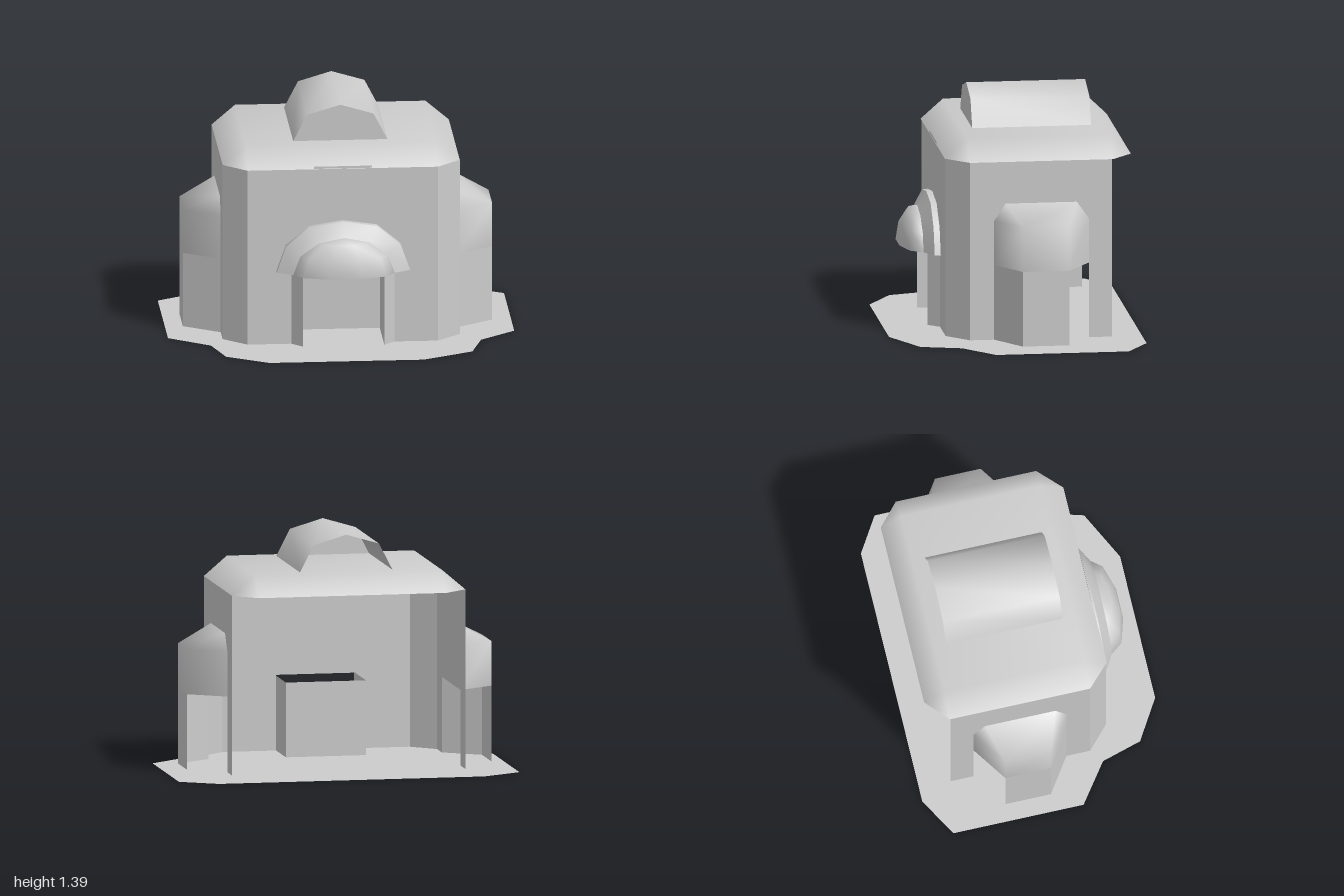
import * as THREE from 'three';
import { mergeVertices, mergeGeometries } from 'three/addons/utils/BufferGeometryUtils.js';

const stone = new THREE.MeshStandardMaterial({ color: 0xcccccc, side: THREE.DoubleSide });
stone.name = 'pale stone';

// Quads between successive rows of [x, y, z] points
function loft(rows) {
  const pos = [];
  for (let r = 0; r < rows.length - 1; r++) {
    for (let i = 0; i < rows[r].length - 1; i++) {
      const a = rows[r][i], b = rows[r][i + 1], c = rows[r + 1][i + 1], d = rows[r + 1][i];
      pos.push(...a, ...b, ...c, ...a, ...c, ...d);
    }
  }
  const g = new THREE.BufferGeometry();
  g.setAttribute('position', new THREE.Float32BufferAttribute(pos, 3));
  return g;
}
function flat(g) { g.computeVertexNormals(); return g; }
function smooth(g) { const m = mergeVertices(g); m.computeVertexNormals(); return m; }

function add(parent, name, geometry) {
  const m = new THREE.Mesh(geometry, stone);
  m.name = name;
  parent.add(m);
  return m;
}

// Upright wall following a plan of [x, z] points
const wall = (plan, y0, y1) =>
  flat(loft([plan.map(([x, z]) => [x, y0, z]), plan.map(([x, z]) => [x, y1, z])]));

// Level plate from an outline of [x, z] points
function plate(outline, y) {
  const shape = new THREE.Shape(outline.map(([x, z]) => new THREE.Vector2(x, -z)));
  return new THREE.ShapeGeometry(shape).rotateX(-Math.PI / 2).translate(0, y, 0);
}

export function createModel() {
  const model = new THREE.Group();
  model.name = 'building';

  // Ground
  add(model, 'ground', plate([
    [-1, -0.6], [-0.77, -0.73], [0.79, -0.73], [1, -0.6], [1, 0.17], [0.795, 0.34],
    [0.727, 0.575], [0.434, 0.72], [-0.455, 0.72], [-0.695, 0.575], [-0.765, 0.34], [-1, 0.17],
  ], 0));

  const house = new THREE.Group();
  house.name = 'house';
  house.position.x = -0.008;
  model.add(house);

  const base = 0.02, door = 0.46, eave = 1.065, ridge = 1.18;
  const W = 0.685, C = 0.55, F = 0.405;

  // Front wall over the doorway, and the plain panel above it
  add(house, 'doorLintelWall', wall([[-0.235, F], [0.235, F]], door, eave));
  add(house, 'frontPanel', wall([[-0.167, F + 0.003], [0.167, F + 0.003]], 0.73, 1.08));

  // Mirrored side parts
  for (const s of [1, -1]) {
    const side = new THREE.Group();
    side.name = s > 0 ? 'leftSide' : 'rightSide';
    house.add(side);
    const m = (pts) => {
      const out = pts.map(([x, ...rest]) => [s * x, ...rest]);
      return s > 0 ? out : out.reverse();
    };

    add(side, 'cornerWall', wall(m([[0.235, F], [C, F], [W, 0.28], [W, 0.14]]), base, eave));
    add(side, 'rearSideWall', wall(m([[W, -0.41], [W, -0.545]]), base, eave));
    add(side, 'wallOverAlcove', wall(m([[W, 0.14], [W, -0.41]]), door, eave));

    // Alcove wall, open on its rear diagonal
    add(side, 'alcoveWall', wall(m([[W, 0.14], [0.893, 0], [0.893, -0.27]]), base, door));

    // Rounded alcove roof
    const bay = [[W, 0.14], [0.893, 0], [0.893, -0.27], [W, -0.41]];
    const crown = [[W, 0.82, 0.075], [W, 0.82, 0.075], [W, 0.82, -0.34], [W, 0.82, -0.34]];
    add(side, 'alcoveRoof', smooth(loft([
      m(bay.map(([x, z]) => [x, door, z])),
      m(bay.map(([x, z]) => [x, 0.72, z])),
      m(crown),
    ])));
  }

  // Main roof with chamfered corners
  const edge = [[-C, 0.41], [C, 0.41], [W, 0.28], [W, -0.55], [C, -0.67], [-C, -0.67], [-W, -0.55], [-W, 0.28], [-C, 0.41]];
  const slopes = loft([
    edge.map(([x, z]) => [x, eave, z]),
    edge.map(([x, z]) => [Math.sign(x) * C, ridge, z > 0 ? 0.28 : -0.55]),
  ]);
  const top = loft([
    [[-C, ridge, 0.28], [C, ridge, 0.28]],
    [[-C, ridge, -0.55], [C, ridge, -0.55]],
  ]);
  add(house, 'mainRoof', smooth(mergeGeometries([slopes, top])));

  // Roof vault, closed at the front only
  const arch = [[0.272, ridge], [0.192, 1.335], [0, 1.392], [-0.192, 1.335], [-0.272, ridge]];
  add(house, 'roofVault', smooth(loft([-0.475, 0.215].map((z) => arch.map(([x, y]) => [x, y, z])))));
  const end = new THREE.ShapeGeometry(new THREE.Shape(arch.map(([x, y]) => new THREE.Vector2(x, y))));
  add(house, 'vaultFront', end.translate(0, 0, 0.215));

  // Open-topped entrance niche with splayed jambs
  add(house, 'entranceNiche', wall([
    [-0.297, F], [-0.235, 0.47], [-0.235, 0.12], [0.235, 0.12], [0.235, 0.47], [0.297, F],
  ], base, 0.455));
  add(house, 'doorstep', plate([
    [-0.297, F], [-0.25, 0.53], [-0.1, 0.635], [0.1, 0.635], [0.25, 0.53], [0.297, F],
    [0.235, 0.12], [-0.235, 0.12],
  ], 0.016));

  // Entrance canopy: rim, sloping collar and quarter dome
  const half = [[0.385, door], [0.33, 0.615], [0.195, 0.728]];
  const outer = [...half, [0, 0.757], ...half.map(([x, y]) => [-x, y]).reverse()];
  const inner = outer.map((_, i) => {
    const a = (i * Math.PI) / 6;
    return [0.293 * Math.cos(a), door + 0.215 * Math.sin(a)];
  });
  const at = (pts, z) => pts.map(([x, y]) => [x, y, z]);
  add(house, 'canopyRim', smooth(loft([at(outer, 0.412), at(outer, 0.447)])));
  add(house, 'canopyCollar', smooth(loft([at(outer, 0.447), at(inner, 0.5)])));
  const dome = new THREE.SphereGeometry(1, 5, 3, 0, Math.PI, 0, Math.PI / 2);
  add(house, 'canopyDome', dome.scale(0.293, 0.215, 0.12).translate(0, door, 0.5));

  return model;
}
